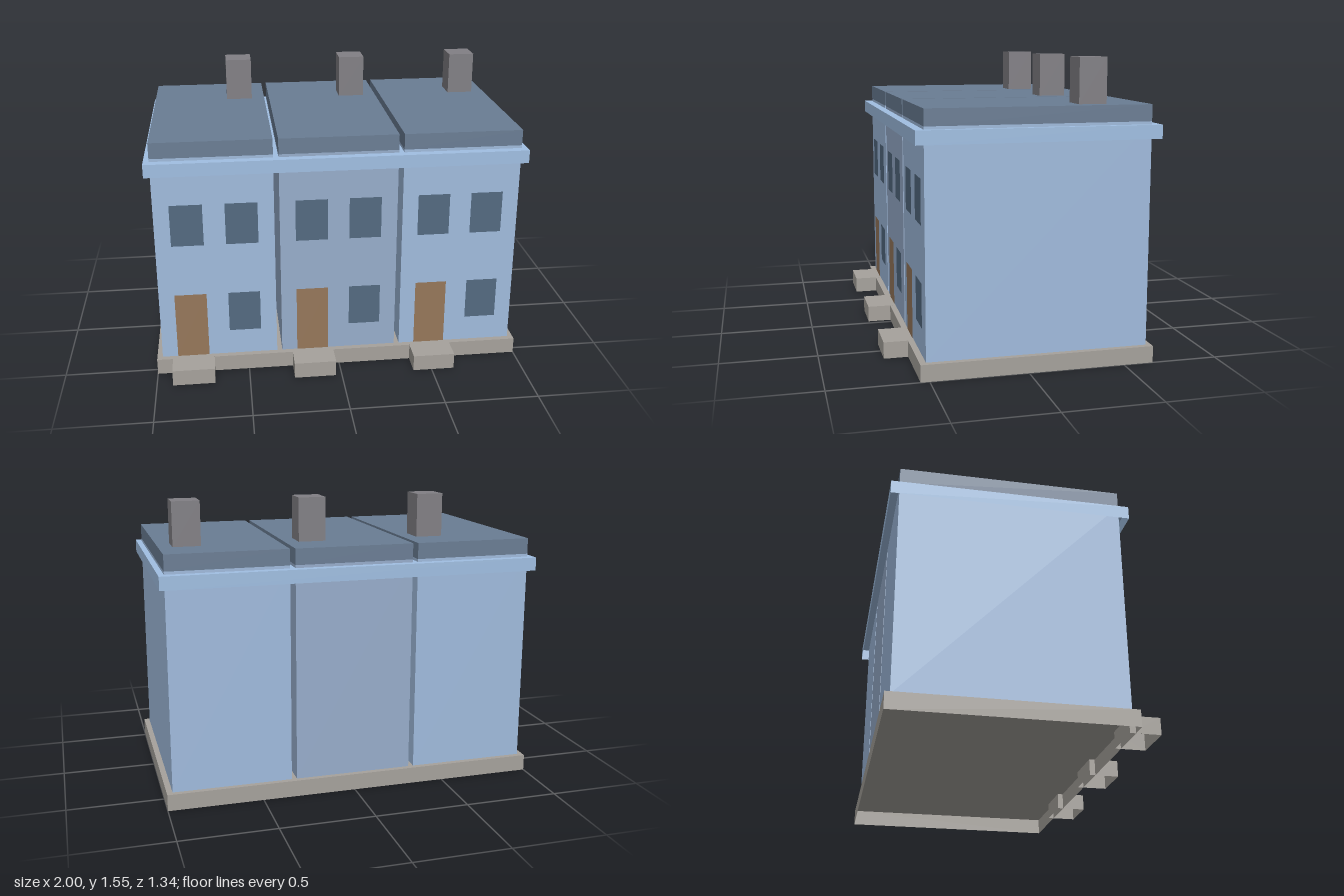
import * as THREE from 'three';

const paint = (color) => new THREE.MeshStandardMaterial({ color, side: THREE.DoubleSide });

// Box given by its limits, open underneath
function openBox(name, material, [x0, x1], [y0, y1], [z0, z1]) {
  const geometry = new THREE.BoxGeometry(x1 - x0, y1 - y0, z1 - z0);
  const index = Array.from(geometry.index.array);
  index.splice(18, 6); // bottom face
  geometry.setIndex(index);
  geometry.clearGroups();
  const mesh = new THREE.Mesh(geometry, material);
  mesh.position.set((x0 + x1) / 2, (y0 + y1) / 2, (z0 + z1) / 2);
  mesh.name = name;
  return mesh;
}

// Flat panel facing the front
function panel(name, material, x, width, y0, y1, z) {
  const mesh = new THREE.Mesh(new THREE.PlaneGeometry(width, y1 - y0), material);
  mesh.position.set(x, (y0 + y1) / 2, z);
  mesh.name = name;
  return mesh;
}

export function createModel() {
  const model = new THREE.Group();
  model.name = 'terracedHouses';

  const wall = paint(0xa0bbdd);
  const middleWall = paint(0x97adcb);
  const trim = paint(0xa0bfe2);
  const slate = paint(0x6a7d94);
  const glass = paint(0x536a80);
  const wood = paint(0x96775a);
  const stone = paint(0xa6a29c);
  const brick = paint(0x817f84);

  const depth = [-0.627, 0.513];
  const front = 0.516;

  // Shared plinth and cornice
  model.add(openBox('plinth', stone, [-1, 1], [0, 0.087], [-0.655, 0.545]));
  model.add(openBox('cornice', trim, [-1, 1], [1.147, 1.217], [-0.672, 0.558]));

  // Three houses side by side
  [-0.656, 0, 0.656].forEach((x, i) => {
    const house = new THREE.Group();
    house.name = ['rightHouse', 'middleHouse', 'leftHouse'][i];
    house.position.x = x;
    const width = [-0.314, 0.314];
    const near = -0.145, far = 0.142;

    house.add(openBox('walls', i === 1 ? middleWall : wall, width, [0.087, 1.232], depth));
    house.add(openBox('roof', slate, width, [1.232, 1.316], depth));
    house.add(openBox('chimney', brick, [0.098, 0.242], [1.316, 1.546], [-0.415, -0.272]));

    // Door and its step
    house.add(panel('door', wood, near, 0.171, 0.087, 0.458, front));
    house.add(openBox('doorstep', stone, [near - 0.113, near + 0.113], [0, 0.0875], [0.515, 0.672]));

    // Windows
    house.add(panel('lowerWindow', glass, far, 0.171, 0.23, 0.458, front));
    for (const wx of [near, far]) {
      house.add(panel('upperWindow', glass, wx, 0.171, 0.745, 0.975, front));
    }
    model.add(house);
  });

  return model;
}
